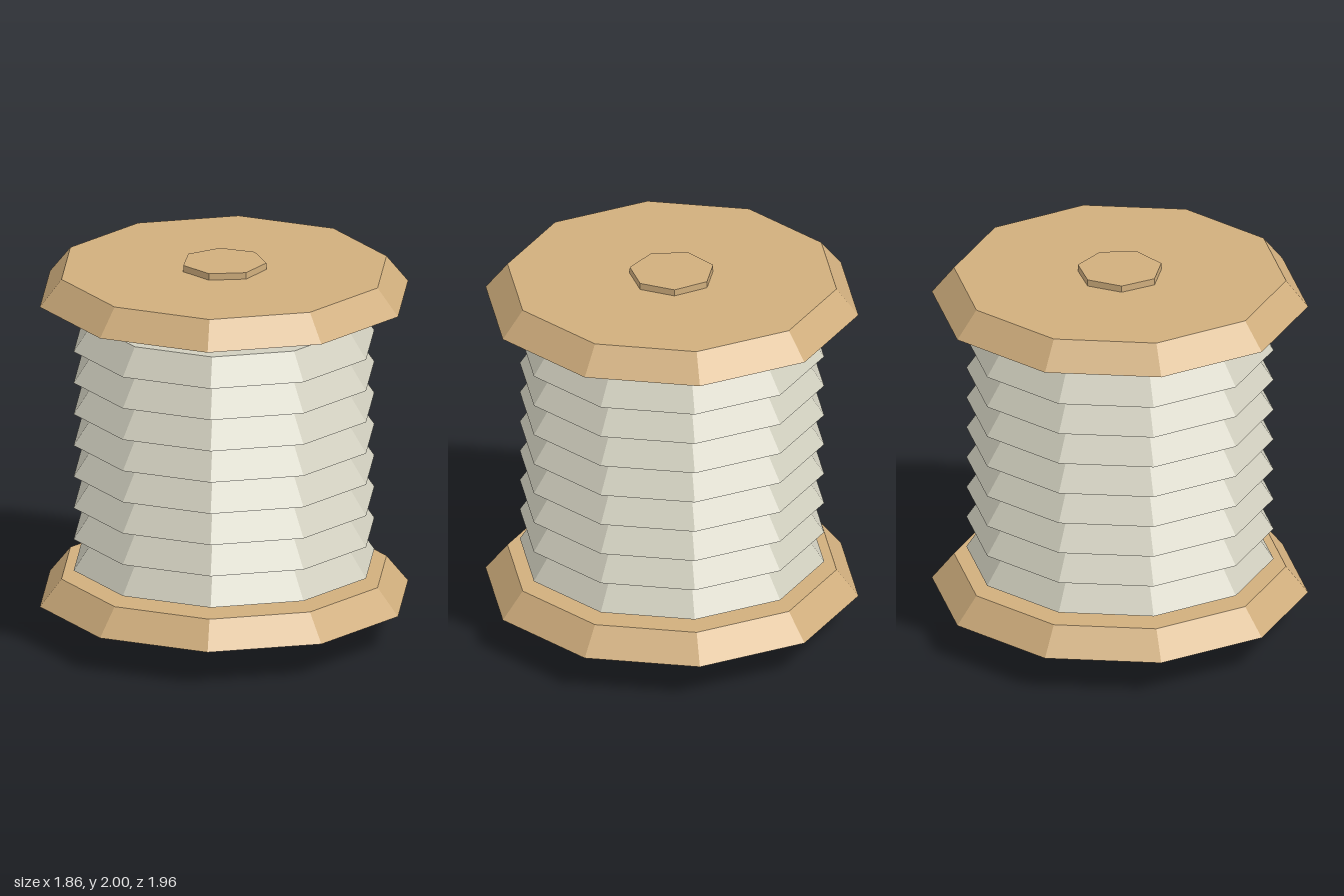
import * as THREE from 'three';

export function createModel() {
  const group = new THREE.Group();
  group.name = 'spool';
  const wood = new THREE.MeshStandardMaterial({ color: 0xd0ae7d });
  wood.name = 'wood';
  const thread = new THREE.MeshStandardMaterial({ color: 0xd0cebe });
  thread.name = 'thread';
  wood.flatShading = thread.flatShading = true;

  // Tapered prism standing on height y, with a corner towards the front
  function prism(name, material, rTop, rBottom, height, y, sides) {
    const mesh = new THREE.Mesh(new THREE.CylinderGeometry(rTop, rBottom, height, sides), material);
    mesh.name = name;
    mesh.position.y = y + height / 2;
    group.add(mesh);
  }

  // Central spindle, running through the whole spool
  prism('spindle', wood, 0.222, 0.253, 2, 0, 7);

  // End flanges
  prism('lowerFlange', wood, 0.865, 0.98, 0.143, 0.186, 10);
  prism('upperFlange', wood, 0.865, 0.98, 0.143, 1.822, 10);

  // Stacked thread windings
  for (let i = 0; i < 8; i++) {
    prism('threadWinding' + (i + 1), thread, 0.705, 0.8, 0.143, 0.371 + i * 0.1706, 10);
  }
  return group;
}
